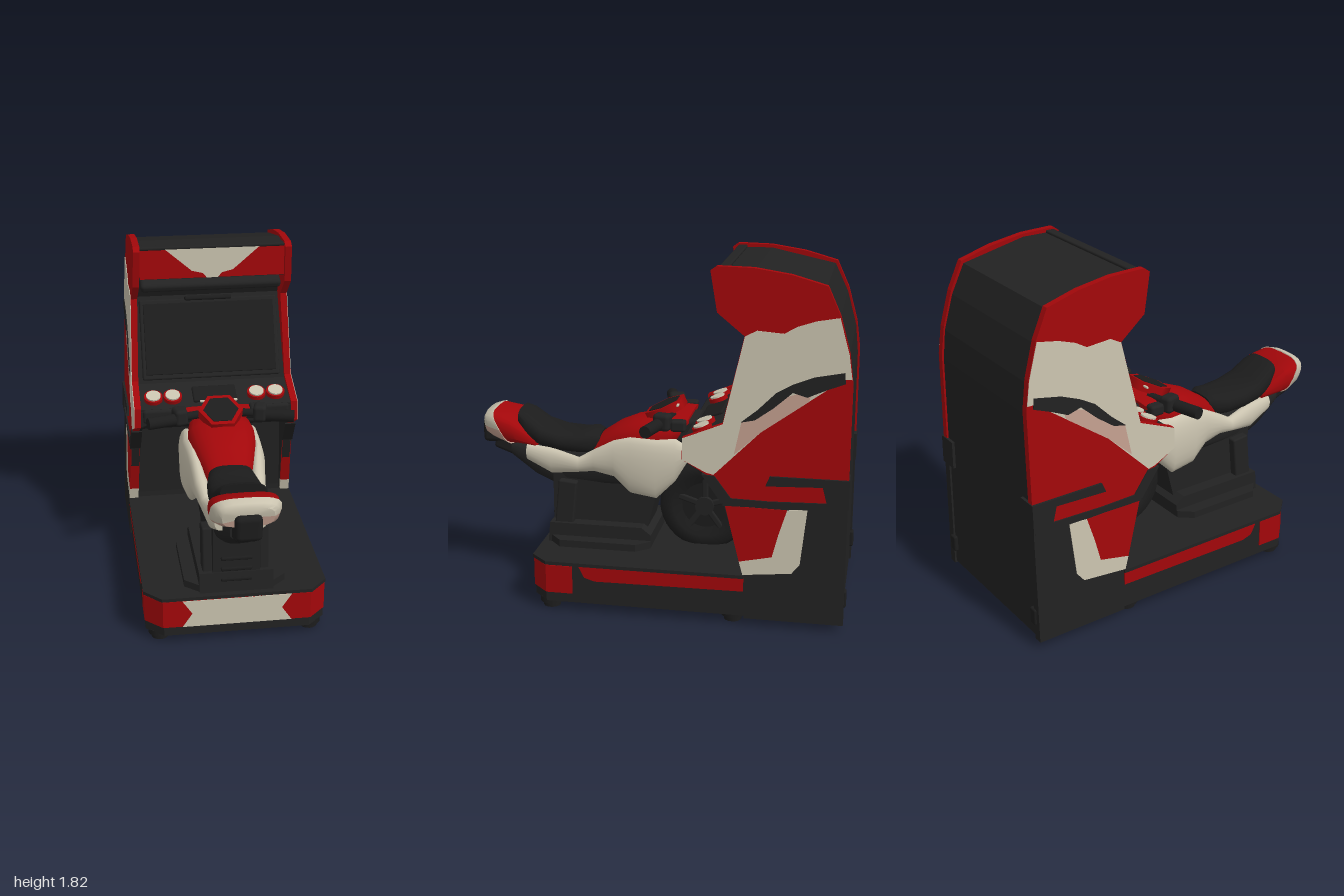
import * as THREE from 'three';
import { toCreasedNormals } from 'three/addons/utils/BufferGeometryUtils.js';
import { RoundedBoxGeometry } from 'three/addons/geometries/RoundedBoxGeometry.js';

const mat = (name, color) => Object.assign(new THREE.MeshStandardMaterial({ color }), { name });

export function createModel() {
  const red = mat('red', 0xa2070a), cream = mat('cream', 0xcac3af), tan = mat('tan', 0xc39f8f);
  const dark = mat('charcoal', 0x222222), black = mat('black', 0x1c1c1c);
  const model = new THREE.Group();
  model.name = 'motorbikeArcadeCabinet';

  const add = (name, geo, m, x = 0, y = 0, z = 0, rx = 0, ry = 0, rz = 0) => {
    const mesh = new THREE.Mesh(geo, m);
    mesh.name = name;
    mesh.position.set(x, y, z);
    mesh.rotation.set(rx, ry, rz);
    model.add(mesh);
  };
  const box = (w, h, d, r = 0.01) => new RoundedBoxGeometry(w, h, d, 2, r);
  const cyl = (r, h, n = 20) => new THREE.CylinderGeometry(r, r, h, n);
  const shape = (pts) => new THREE.Shape(pts.map(([a, b]) => new THREE.Vector2(a, b)));
  const extrude = (pts, depth) => new THREE.ExtrudeGeometry(shape(pts), { depth, bevelEnabled: false });

  // Side profile given as (z, y), extruded from x0 to x1
  const profile = (pts, x0, x1) =>
    extrude(pts.map(([z, y]) => [-z, y]), x1 - x0).translate(0, 0, x0).rotateY(Math.PI / 2);
  // Floor plan given as (x, z), extruded from y0 to y1
  const plan = (pts, y0, y1) =>
    extrude(pts.map(([x, z]) => [x, -z]), y1 - y0).translate(0, 0, y0).rotateX(-Math.PI / 2);
  // Moves every x by a rule of x and y
  const moveX = (geo, rule) => {
    const p = geo.attributes.position;
    for (let i = 0; i < p.count; i++) p.setX(i, rule(p.getX(i), p.getY(i)));
    geo.computeVertexNormals();
    return geo;
  };
  // The cabinet narrows towards the top
  const outer = (y) => 0.473 - 0.03 * y;
  // Cabinet side piece on both sides, x0..x1 measured from the outer surface
  const sidePair = (name, pts, m, x0, x1) => {
    add(name + 'Left', moveX(profile(pts, x0, x1), (x, y) => x + outer(y)), m);
    add(name + 'Right', moveX(profile(pts, -x1, -x0), (x, y) => x - outer(y)), m);
  };

  // Rounded body through sections [z, centre x, half width, bottom y, top y, slant], front to back
  const loft = (sections, power = 0.65, pick = null) => {
    const N = 20, pos = [], idx = [[], []];
    const bend = (v) => Math.sign(v) * Math.abs(v) ** power;
    for (const [z, cx, w, y0, y1, k = 0] of sections)
      for (let j = 0; j < N; j++) {
        const t = (j / N) * Math.PI * 2, dy = bend(Math.sin(t)) * (y1 - y0) / 2;
        pos.push(cx + w * bend(Math.cos(t)), (y0 + y1) / 2 + dy, z + k * dy);
      }
    const last = sections.length - 1;
    for (const i of [0, last]) pos.push(sections[i][1], (sections[i][3] + sections[i][4]) / 2, sections[i][0]);
    for (let j = 0; j < N; j++) {
      const n = (j + 1) % N, list = idx[pick && pick(j / N) ? 1 : 0];
      for (let i = 0; i < last; i++) {
        const a = i * N + j, b = i * N + n;
        list.push(a, a + N, b, b, a + N, b + N);
      }
      list.push((last + 1) * N, j, n, (last + 1) * N + 1, last * N + n, last * N + j);
    }
    const geo = new THREE.BufferGeometry();
    geo.setAttribute('position', new THREE.Float32BufferAttribute(pos, 3));
    geo.setIndex([...idx[0], ...idx[1]]);
    if (pick) {
      geo.addGroup(0, idx[0].length, 0);
      geo.addGroup(idx[0].length, idx[1].length, 1);
    }
    return toCreasedNormals(geo, 0.8);
  };

  // Base platform with chamfered front corners
  const basePlan = (g, back) => [[-0.463 - g, back], [-0.463 - g, 0.55], [-0.375 - g, 0.632 + g],
    [0.375 + g, 0.632 + g], [0.463 + g, 0.55], [0.463 + g, back]];
  add('base', plan(basePlan(0, -0.5), 0.05, 0.27), dark);
  add('baseTopTrim', plan(basePlan(0.009, -0.48), 0.254, 0.272), dark);
  add('baseFrontBand', plan(basePlan(0.005, 0.41), 0.1, 0.25), red);
  add('baseFrontPanel', extrude([[-0.28, 0.25], [-0.23, 0.175], [-0.28, 0.1], [0.28, 0.1], [0.23, 0.175], [0.28, 0.25]], 0.005), cream, 0, 0, 0.635);
  const strip = [[0.375, 0.254], [0.345, 0.195], [0.29, 0.178], [-0.48, 0.185], [-0.48, 0.254]];
  add('baseStripeLeft', profile(strip, 0.462, 0.47), red);
  add('baseStripeRight', profile(strip, -0.47, -0.462), red);
  for (const s of [-1, 1]) {
    for (const z of [0.54, -0.42]) {
      add('foot', cyl(0.045, 0.03, 16), black, s * 0.39, 0.015, z);
      add('footCollar', cyl(0.06, 0.03, 16), black, s * 0.39, 0.04, z);
    }
    add('rearRoller', box(0.05, 0.09, 0.03), black, s * 0.42, 0.17, -0.98);
  }

  // Cabinet core between the side panels
  const core = [[-0.48, 0.05], [-0.5, 0.3], [-0.46, 0.72], [-0.28, 0.8], [-0.18, 0.86], [-0.17, 0.96],
    [-0.37, 1.03], [-0.56, 1.47], [-0.5, 1.6], [-0.35, 1.63], [-0.335, 1.8], [-0.5, 1.802],
    [-0.84, 1.728], [-0.91, 1.58], [-0.96, 1.4], [-0.975, 1.25], [-0.975, 0.05]];
  add('cabinetCore', moveX(profile(core, -1, 1), (x, y) => x * (outer(y) - 0.03)), dark);

  // Side panels
  const upper = [[-0.37, 0.65], [-0.28, 0.79], [-0.16, 0.86], [-0.16, 0.97], [-0.36, 1.05], [-0.46, 1.49],
    [-0.325, 1.6], [-0.29, 1.8], [-0.32, 1.822], [-0.5, 1.818], [-0.68, 1.79], [-0.85, 1.742],
    [-0.915, 1.6], [-0.965, 1.42], [-0.985, 1.27], [-0.985, 0.65]];
  const lower = [[-0.485, 0.04], [-0.485, 0.27], [-0.37, 0.65], [-0.985, 0.65], [-0.985, 0.04]];
  sidePair('upperSidePanel', upper, red, -0.035, 0);
  sidePair('lowerSidePanel', lower, dark, -0.045, 0);
  sidePair('innerLiner', [[-0.5, 0.27], [-0.38, 0.64], [-0.28, 0.79], [-0.165, 0.86], [-0.165, 0.95], [-0.6, 0.95], [-0.6, 0.27]], dark, -0.05, -0.034);
  sidePair('creamSidePanel', [[-0.161, 0.86], [-0.161, 0.968], [-0.362, 1.05], [-0.462, 1.49], [-0.52, 1.52],
    [-0.65, 1.51], [-0.71, 1.545], [-0.8, 1.575], [-0.912, 1.595], [-0.962, 1.42], [-0.98, 1.3], [-0.94, 1.3],
    [-0.8, 1.2], [-0.55, 1.02], [-0.43, 0.9], [-0.32, 0.79], [-0.28, 0.8]], cream, -0.001, 0.003);
  sidePair('tanSideAccent', [[-0.455, 1.07], [-0.42, 0.9], [-0.55, 1.02], [-0.78, 1.185], [-0.79, 1.24], [-0.66, 1.2]], tan, 0.001, 0.005);
  sidePair('darkSideStripe', [[-0.45, 1.065], [-0.53, 1.13], [-0.62, 1.22], [-0.7, 1.265], [-0.8, 1.305], [-0.945, 1.333],
    [-0.95, 1.28], [-0.86, 1.245], [-0.77, 1.205], [-0.7, 1.225], [-0.61, 1.145], [-0.52, 1.08]], dark, 0.001, 0.007);
  sidePair('lowerRedPanel', [[-0.38, 0.635], [-0.69, 0.63], [-0.65, 0.5], [-0.62, 0.38], [-0.455, 0.345]], red, -0.047, 0.004);
  sidePair('lowerCreamPanel', [[-0.69, 0.63], [-0.79, 0.64], [-0.76, 0.35], [-0.72, 0.3], [-0.475, 0.275],
    [-0.455, 0.345], [-0.62, 0.38], [-0.65, 0.5]], cream, -0.047, 0.004);
  sidePair('frontCornerTrim', [[-0.26, 0.79], [-0.325, 0.785], [-0.42, 0.66], [-0.365, 0.645]], dark, -0.05, 0.008);
  sidePair('seamTrim', [[-0.37, 0.65], [-0.38, 0.675], [-0.6, 0.67], [-0.98, 0.68], [-0.98, 0.64], [-0.37, 0.635]], dark, -0.01, 0.008);
  sidePair('sideBracket', [[-0.58, 0.75], [-0.6, 0.8], [-0.99, 0.8], [-0.99, 0.65], [-0.89, 0.65], [-0.86, 0.76]], dark, -0.1, 0.012);

  // Header sign and screen
  add('header', new THREE.BoxGeometry(0.77, 0.16, 0.03), red, 0, 1.72, -0.34);
  add('headerPanel', extrude([[-0.25, 1.8], [-0.11, 1.68], [-0.05, 1.665], [-0.03, 1.64], [0.03, 1.64], [0.05, 1.665], [0.11, 1.68], [0.25, 1.8]], 0.005), cream, 0, 0, -0.326);
  add('headerTrim', box(0.77, 0.018, 0.05, 0.008), dark, 0, 1.805, -0.345);
  const tilt = -0.408;
  add('screenFrame', box(0.76, 0.44, 0.04), dark, 0, 1.25, -0.46, tilt);
  add('screen', box(0.72, 0.39, 0.01, 0.004), black, 0, 1.26, -0.441, tilt);
  add('screenHood', box(0.76, 0.05, 0.1, 0.02), dark, 0, 1.585, -0.42, 0.4);
  add('speakerBar', box(0.26, 0.025, 0.03), black, 0, 1.46, -0.53, tilt);

  // Control shelf and buttons
  add('controlLip', box(0.8, 0.08, 0.04, 0.018), dark, 0, 0.92, -0.175);
  add('cardSlot', box(0.24, 0.02, 0.12), black, 0, 0.998, -0.26, 0.337);
  for (const x of [-0.335, -0.23, 0.23, 0.335]) {
    add('buttonRing', cyl(0.051, 0.03), red, x, 0.993, -0.245, 0.337);
    add('buttonCap', cyl(0.04, 0.042), cream, x, 0.995, -0.244, 0.337);
  }

  // Wheel
  const tyre = [[0.1, -0.05], [0.17, -0.08], [0.22, -0.085], [0.245, -0.05], [0.252, 0], [0.245, 0.05], [0.22, 0.085], [0.17, 0.08], [0.1, 0.05]];
  const tyreGeo = new THREE.LatheGeometry(tyre.map(([r, h]) => new THREE.Vector2(r, h)), 36);
  add('tyre', tyreGeo, black, 0, 0.485, -0.22, 0, 0, Math.PI / 2);
  add('wheelDisc', cyl(0.17, 0.12, 32), black, 0, 0.485, -0.22, 0, 0, Math.PI / 2);
  add('wheelHub', cyl(0.05, 0.17), dark, 0, 0.485, -0.22, 0, 0, Math.PI / 2);
  for (let i = 0; i < 5; i++) {
    const a = (i / 5) * Math.PI * 2;
    add('spoke', box(0.14, 0.14, 0.035), dark, 0, 0.485 + 0.09 * Math.cos(a), -0.22 + 0.09 * Math.sin(a), a);
  }

  // Bike stand
  add('footPlate', plan([[-0.18, 0.6], [-0.26, 0.53], [-0.26, 0.12], [-0.2, 0.05], [0.2, 0.05], [0.26, 0.12], [0.26, 0.53], [0.18, 0.6]], 0.27, 0.31), dark);
  add('standFoot', profile([[0.61, 0.27], [0.6, 0.38], [0.1, 0.38], [0.05, 0.34], [0.05, 0.27]], -0.19, 0.19), dark);
  add('standPillar', profile([[0.595, 0.36], [0.595, 0.64], [0.4, 0.68], [0, 0.72], [0.04, 0.52], [0.08, 0.36]], -0.12, 0.12), dark);
  for (const s of [-1, 1]) add('standStrut', box(0.05, 0.32, 0.1), dark, s * 0.145, 0.45, 0.52, -0.1);
  for (const y of [0.34, 0.4, 0.46]) add('standStep', box(0.16, 0.02, 0.04, 0.008), black, 0, y, 0.59);

  // Bike body
  add('underFrame', loft([[0.84, 0, 0.07, 0.7, 0.78], [0.7, 0, 0.1, 0.6, 0.78], [0.58, 0, 0.12, 0.55, 0.78],
    [0.2, 0, 0.145, 0.57, 0.78], [0, 0, 0.145, 0.56, 0.8], [-0.1, 0, 0.13, 0.68, 0.85]]), dark);
  add('tank', loft([[0.42, 0, 0.09, 0.7, 0.77], [0.34, 0, 0.115, 0.7, 0.85], [0.25, 0, 0.145, 0.7, 0.91],
    [0.15, 0, 0.17, 0.72, 0.95], [0.03, 0, 0.18, 0.76, 0.965], [-0.06, 0, 0.165, 0.82, 0.965], [-0.1, 0, 0.12, 0.87, 0.94]], 0.8), red);
  for (const s of [-1, 1])
    add('sideFairing', loft([[0.74, s * 0.1, 0.03, 0.7, 0.785], [0.6, s * 0.115, 0.035, 0.635, 0.775],
      [0.45, s * 0.13, 0.035, 0.655, 0.735], [0.36, s * 0.145, 0.04, 0.67, 0.79], [0.25, s * 0.16, 0.04, 0.65, 0.85],
      [0.16, s * 0.173, 0.043, 0.57, 0.875], [0.02, s * 0.18, 0.045, 0.55, 0.87], [-0.08, s * 0.175, 0.043, 0.65, 0.88],
      [-0.15, s * 0.16, 0.025, 0.77, 0.83]], 0.95), cream);
  add('seat', loft([[0.785, 0, 0.11, 0.88, 0.97], [0.74, 0, 0.13, 0.8, 0.955], [0.66, 0, 0.14, 0.77, 0.895],
    [0.56, 0, 0.14, 0.75, 0.865], [0.45, 0, 0.13, 0.74, 0.86], [0.38, 0, 0.115, 0.74, 0.872], [0.345, 0, 0.09, 0.78, 0.855]], 0.7), black);
  add('tailCowl', loft([[0.875, 0, 0.166, 0.785, 0.965, 0.55], [0.8, 0, 0.172, 0.785, 0.945, 0.3], [0.69, 0, 0.125, 0.77, 0.83]], 0.6), red);
  add('tailTip', loft([[0.965, 0, 0.125, 0.83, 0.94, 0.2], [0.935, 0, 0.15, 0.805, 0.958, 0.4], [0.872, 0, 0.173, 0.775, 0.97, 0.55]],
    0.65, (t) => t > 0.5), [cream, tan]);
  add('tailLight', box(0.13, 0.13, 0.14, 0.025), black, 0, 0.835, 0.93);
  add('tailBracket', box(0.12, 0.08, 0.24, 0.02), black, 0, 0.74, 0.82, -0.35);

  // Dashboard, neck and handlebars
  add('frontCowl', loft([[-0.04, 0, 0.15, 0.93, 0.985], [-0.09, 0, 0.2, 0.94, 0.985], [-0.14, 0, 0.19, 0.95, 0.98]]), red);
  add('neck', box(0.24, 0.13, 0.13, 0.02), dark, 0, 0.9, -0.125);
  add('dashFrame', cyl(0.118, 0.05, 6).rotateY(Math.PI / 6), red, 0, 0.995, 0, 0.42);
  add('dashFace', cyl(0.094, 0.056, 6).rotateY(Math.PI / 6), black, 0, 0.995, 0, 0.42);
  add('dashTrim', box(0.2, 0.012, 0.012, 0.004), cream, 0, 1.035, -0.075);
  for (const s of [-1, 1]) {
    add('handlebar', cyl(0.022, 0.24, 14), black, s * 0.19, 0.975, -0.02, 0, -s * 0.25, Math.PI / 2);
    add('grip', cyl(0.032, 0.15, 16), black, s * 0.315, 0.97, 0.02, 0, -s * 0.25, Math.PI / 2);
    add('switchBox', box(0.07, 0.09, 0.09, 0.02), dark, s * 0.215, 0.98, -0.02, 0, -s * 0.25);
    add('brakeReservoir', box(0.06, 0.06, 0.08, 0.015), dark, s * 0.2, 0.96, -0.1);
  }
  return model;
}
